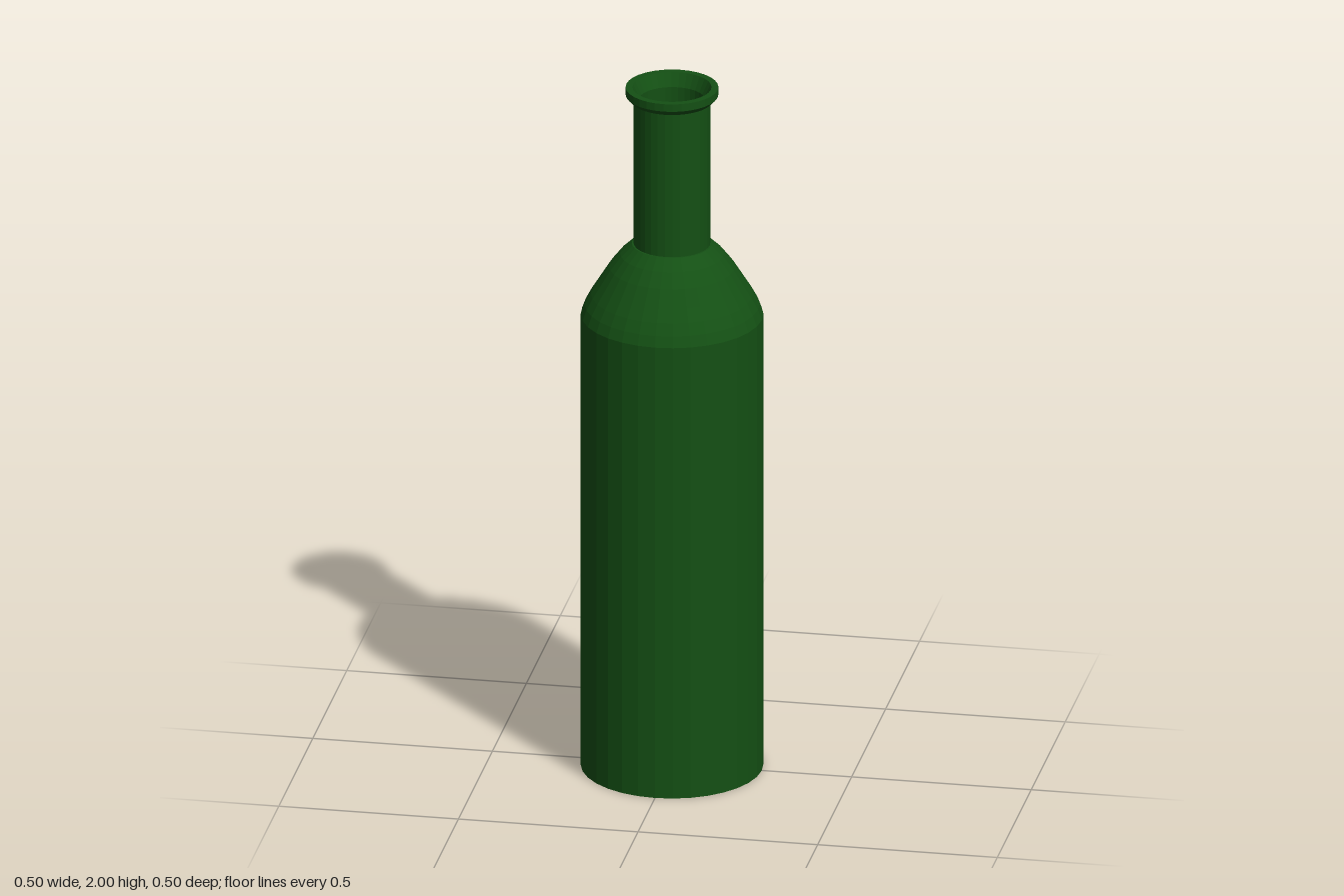
import * as THREE from 'three';

const SIDES = 32;

export function createModel() {
  const group = new THREE.Group();
  const glass = new THREE.MeshStandardMaterial({ color: 0x145014, flatShading: true });

  // Profiles are [radius, height], running up the outside and down the inside
  const turn = (name, profile) => {
    const points = profile.map(([r, y]) => new THREE.Vector2(r, y));
    const mesh = new THREE.Mesh(new THREE.LatheGeometry(points, SIDES), glass);
    mesh.name = name;
    group.add(mesh);
  };

  // Flat base and straight wall
  turn('body', [[0, 0], [0.25, 0], [0.25, 1.33]]);

  // Gently rounded shoulder
  turn('shoulder', [[0.25, 1.33], [0.239, 1.36], [0.222, 1.392], [0.2, 1.427],
    [0.172, 1.472], [0.142, 1.51], [0.11, 1.54], [0.105, 1.54]]);

  turn('neck', [[0.105, 1.54], [0.105, 1.965]]);

  // Flared lip with a funnel-shaped mouth
  turn('lip', [[0.105, 1.963], [0.113, 1.963], [0.127, 1.978], [0.127, 2],
    [0.108, 2], [0.09, 1.963]]);

  // Hollow inside, down to the floor
  turn('interior', [[0.09, 1.963], [0.09, 1.53], [0.15, 1.475], [0.2, 1.4],
    [0.23, 1.32], [0.23, 0.03], [0, 0.03]]);

  return group;
}
